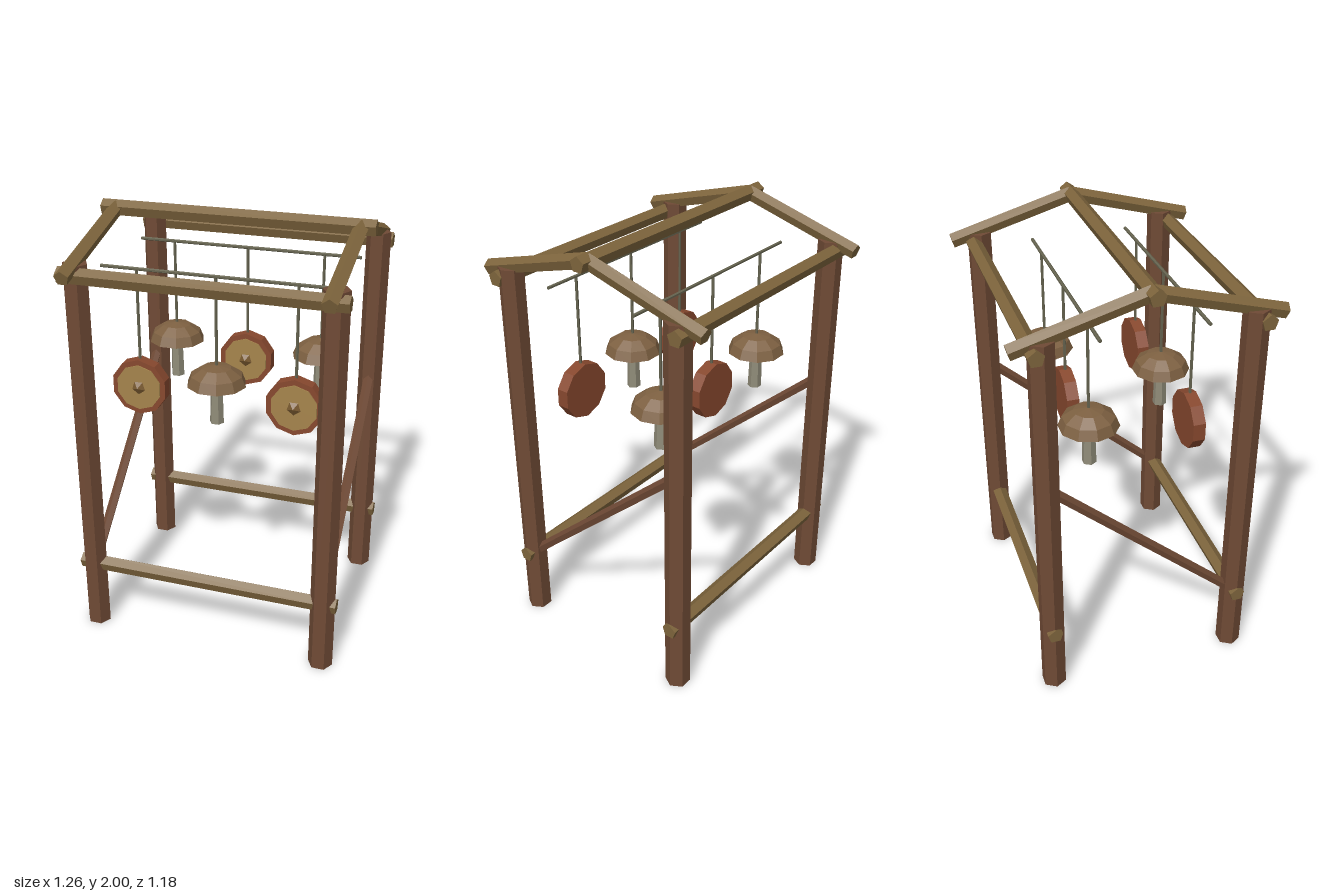
import * as THREE from 'three';

const mat = (color, side = THREE.FrontSide) =>
  new THREE.MeshStandardMaterial({ color, side, flatShading: true });

const V = (x, y, z) => new THREE.Vector3(x, y, z);

export function createModel() {
  const root = new THREE.Group();
  const darkWood = mat(0x6f4a35);
  const lightWood = mat(0x7d643c);
  const metal = mat(0x65634f);
  const bellWood = mat(0x7d6041, THREE.DoubleSide);
  const pale = mat(0x8f8b78);
  const red = mat(0x87482e);
  const gold = mat(0xa5844c);
  const boss = mat(0x7a5a30);

  // Straight prism from a to b; one corner of its section points towards ref
  function bar(name, a, b, r, sides, material, ref = V(0, 1, 0), rTop = r, parent = root) {
    const y = b.clone().sub(a);
    const length = y.length();
    y.normalize();
    const z = ref.clone().addScaledVector(y, -ref.dot(y)).normalize();
    const x = y.clone().cross(z);
    const mesh = new THREE.Mesh(new THREE.CylinderGeometry(rTop, r, length, sides), material);
    mesh.quaternion.setFromRotationMatrix(new THREE.Matrix4().makeBasis(x, y, z));
    mesh.position.copy(a).add(b).multiplyScalar(0.5);
    mesh.name = name;
    parent.add(mesh);
    return mesh;
  }

  const X = V(1, 0, 0);
  const px = 0.565, pz = 0.45, half = 0.63;

  // Frame: posts, rafters and braces on both sides
  for (const s of [-1, 1]) {
    for (const f of [-1, 1]) {
      bar('post', V(s * px, 0, f * pz), V(s * px, 1.83, f * pz), 0.058, 6, darkWood, X);
      bar('rafter', V(s * px, 1.8, f * 0.58), V(s * px, 1.963, 0), 0.035, 5, lightWood);
    }
    bar('brace', V(s * px, 0.325, pz), V(s * px, 1.13, -pz), 0.024, 5, darkWood);
  }

  // Horizontal beams along the width
  const beam = (name, y, z) =>
    bar(name, V(-half, y, z), V(half, y, z), 0.037, 5, lightWood);
  beam('ridgeBeam', 1.963, 0);
  for (const f of [-1, 1]) {
    beam('eaveBeam', 1.785, f * 0.483);
    beam('lowerBeam', 0.335, f * pz);
  }

  // Domed bell with a hanging clapper
  function bell() {
    const g = new THREE.Group();
    g.name = 'bell';
    const cap = new THREE.Mesh(
      new THREE.SphereGeometry(0.136, 10, 3, 0, Math.PI * 2, 0, Math.PI / 2), bellWood);
    cap.scale.y = 0.68;
    cap.position.y = 1.273;
    cap.name = 'bellCap';
    g.add(cap);
    bar('clapper', V(0, 1.085, 0), V(0, 1.34, 0), 0.033, 6, pale, X, 0.026, g);
    return g;
  }

  // Round gong with a face plate and a small pointed boss
  function gong() {
    const g = new THREE.Group();
    g.name = 'gong';
    const y = 1.219, down = V(0, -1, 0);
    bar('gongBody', V(0, y, -0.029), V(0, y, 0.028), 0.133, 10, red, down, 0.133, g);
    bar('gongFace', V(0, y, 0.02), V(0, y, 0.034), 0.108, 10, gold, down, 0.108, g);
    bar('gongBoss', V(0, y, 0.034), V(0, y, 0.052), 0.033, 5, boss, down, 0, g);
    return g;
  }

  // Two rods, each carrying three hanging pieces
  const rows = [
    { z: 0.264, pieces: [gong, bell, gong] },
    { z: -0.202, pieces: [bell, gong, bell] },
  ];
  for (const { z, pieces } of rows) {
    bar('hangingRod', V(-0.535, 1.77, z), V(0.535, 1.77, z), 0.008, 6, metal);
    pieces.forEach((make, i) => {
      const x = (i - 1) * 0.365;
      bar('cord', V(x, 1.34, z), V(x, 1.775, z), 0.007, 5, metal, X);
      const piece = make();
      piece.position.set(x, 0, z);
      root.add(piece);
    });
  }

  return root;
}
